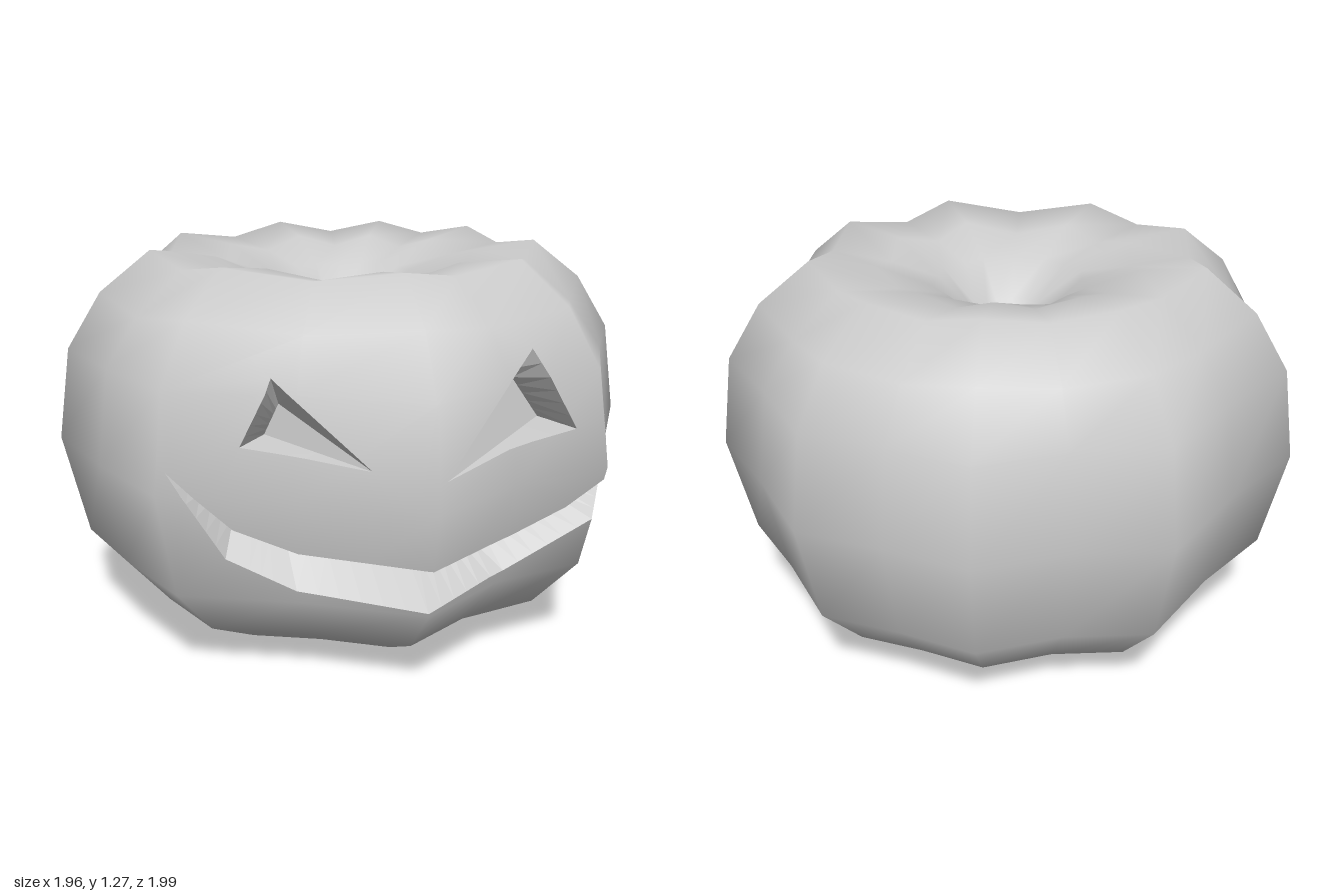
import * as THREE from 'three';
import { mergeVertices } from 'three/addons/utils/BufferGeometryUtils.js';

const skin = new THREE.MeshStandardMaterial({ color: 0xcccccc, side: THREE.DoubleSide });
skin.name = 'pale grey';

// Ribs: ridge angle in degrees (from +z towards +x), ridge radius, radius of the groove after it
const ribs = [[2, 0.99, 0.87], [42, 0.98, 0.905], [84, 0.985, 0.927], [123, 1.01, 0.955], [155, 1, 0.925],
  [189, 1.01, 0.905], [232, 0.98, 0.895], [272, 0.98, 0.93], [313, 0.975, 0.87]];
// Profile of one ridge, from the base centre up, over the rim and down into the dip
const profile = [[0, 0.005], [0.25, 0], [0.56, 0.03], [0.77, 0.145], [0.925, 0.32], [1, 0.66], [0.955, 0.96],
  [0.84, 1.14], [0.67, 1.27], [0.45, 1.24], [0.27, 1.16], [0.14, 1.05], [0.08, 0.97], [0, 0.95]];

// Ribbed body with smooth normals, returned as triangles of [x, y, z, nx, ny, nz]
function bodyTriangles() {
  const columns = [];
  ribs.forEach(([angle, ridge, groove], i) => {
    const next = i < ribs.length - 1 ? ribs[i + 1][0] : ribs[0][0] + 360;
    columns.push([angle, ridge, 0], [(angle + next) / 2, groove, 0.035]);
  });
  const n = columns.length, positions = [], index = [];
  for (const [r, y] of profile) {
    for (const [angle, scale, drop] of columns) {
      const a = THREE.MathUtils.degToRad(angle);
      const sink = y > 1.1 && r > 0.4 ? drop : 0;
      positions.push(r * scale * Math.sin(a), y - sink, r * scale * Math.cos(a));
    }
  }
  for (let j = 0; j < profile.length - 1; j++) {
    for (let i = 0; i < n; i++) {
      const a = j * n + i, b = j * n + (i + 1) % n;
      if (j > 0) index.push(a, b, b + n);
      else index.push(a, b + n, a + n);
      if (j > 0 && j < profile.length - 2) index.push(a, b + n, a + n);
    }
  }
  let geo = new THREE.BufferGeometry();
  geo.setAttribute('position', new THREE.Float32BufferAttribute(positions, 3));
  geo.setIndex(index);
  geo = mergeVertices(geo);
  geo.computeVertexNormals();
  geo = geo.toNonIndexed();
  const p = geo.attributes.position, m = geo.attributes.normal, triangles = [];
  for (let i = 0; i < p.count; i += 3) {
    triangles.push([i, i + 1, i + 2].map(k =>
      [p.getX(k), p.getY(k), p.getZ(k), m.getX(k), m.getY(k), m.getZ(k)]));
  }
  return triangles;
}

const side = (a, b, p) => (b[0] - a[0]) * (p[1] - a[1]) - (b[1] - a[1]) * (p[0] - a[0]);

// Part of a polygon on one side of the line a-b
function clip(poly, a, b, sign) {
  const out = [];
  poly.forEach((p, i) => {
    const q = poly[(i + 1) % poly.length];
    const dp = sign * side(a, b, p), dq = sign * side(a, b, q);
    if (dp >= 0) out.push(p);
    if (dp * dq < 0) out.push(p.map((v, k) => v + (q[k] - v) * dp / (dp - dq)));
  });
  return out;
}

// Remove a convex, counter-clockwise hole from a polygon, seen from the front
function cut(poly, hole) {
  const kept = [];
  let rest = poly;
  hole.forEach((a, i) => {
    const b = hole[(i + 1) % hole.length];
    if (rest.length < 3 || Math.hypot(b[0] - a[0], b[1] - a[1]) < 1e-6) return;
    const outside = clip(rest, a, b, -1);
    if (outside.length > 2) kept.push(outside);
    rest = clip(rest, a, b, 1);
  });
  // Leave polygons that never meet the hole in one piece
  return rest.length < 3 ? [poly] : kept;
}

// Front depth of the body at x, y
function depthAt(triangles, x, y) {
  let best = 0;
  for (const [a, b, c] of triangles) {
    const area = side(a, b, c);
    if (Math.abs(area) < 1e-9) continue;
    const u = side(b, c, [x, y]) / area, v = side(c, a, [x, y]) / area, w = 1 - u - v;
    if (Math.min(u, v, w) > -1e-6) best = Math.max(best, u * a[2] + v * b[2] + w * c[2]);
  }
  return best;
}

// Subdivide a polyline
function sample(points, steps) {
  const out = [];
  for (let i = 0; i < points.length - 1; i++) {
    for (let s = 0; s < steps; s++) out.push(points[i].map((v, k) => v + (points[i + 1][k] - v) * s / steps));
  }
  out.push(points[points.length - 1]);
  return out;
}

function flatMesh(name, positions) {
  const geo = new THREE.BufferGeometry();
  geo.setAttribute('position', new THREE.Float32BufferAttribute(positions, 3));
  geo.computeVertexNormals();
  const mesh = new THREE.Mesh(geo, skin);
  mesh.name = name;
  return mesh;
}

// Carved wall running from the skin edge to an inner line
function wall(triangles, edge, inner) {
  const o = sample(edge, 6).map(([x, y]) => [x, y, depthAt(triangles, x, y)]);
  const n = sample(inner, 6), out = [];
  for (let i = 0; i < o.length - 1; i++) {
    out.push(...o[i], ...o[i + 1], ...n[i + 1], ...o[i], ...n[i + 1], ...n[i]);
  }
  return out;
}

export function createModel() {
  const group = new THREE.Group();
  group.name = 'carvedPumpkin';
  const triangles = bodyTriangles();

  // Mouth edges, left to right, and the line where its floor and ceiling meet
  const upper = [[-0.68, 0.73], [-0.5, 0.56], [-0.32, 0.49], [0.02, 0.475], [0.32, 0.48], [0.52, 0.545], [0.67, 0.63], [0.775, 0.77]];
  const lower = [[-0.68, 0.73], [-0.52, 0.46], [-0.32, 0.36], [0.03, 0.33], [0.32, 0.36], [0.63, 0.48], [0.75, 0.62], [0.775, 0.77]];
  const inner = [[-0.68, 0.73], [-0.48, 0.56], [-0.33, 0.46], [0.02, 0.44], [0.24, 0.44], [0.48, 0.54], [0.62, 0.64], [0.775, 0.77]];
  const innerZ = [0, 0.6, 0.66, 0.7, 0.68, 0.6, 0.53, 0];
  const seam = inner.map(([x, y], i) => [x, y, innerZ[i] || depthAt(triangles, x, y)]);

  // Eye outlines and the back corners of each pit
  const eyes = [
    { name: 'leftEye', edge: [[0.06, 0.745], [0.54, 0.795], [0.4, 1.04]],
      back: [[0.06, 0.745, 0], [0.47, 0.8, 0.6], [0.355, 0.96, 0.62]] },
    { name: 'rightEye', edge: [[-0.13, 0.765], [-0.38, 1.0], [-0.475, 0.81]],
      back: [[-0.13, 0.765, 0], [-0.35, 0.91, 0.66], [-0.39, 0.815, 0.64]] },
  ];

  // Skin with the face cut out
  const holes = eyes.map(e => e.edge);
  for (let i = 0; i < upper.length - 1; i++) holes.push([lower[i], lower[i + 1], upper[i + 1], upper[i]]);
  const positions = [], normals = [];
  for (const tri of triangles) {
    let pieces = [tri];
    if (Math.max(...tri.map(p => p[2])) > 0.3) {
      for (const hole of holes) pieces = pieces.flatMap(p => cut(p, hole));
    }
    for (const p of pieces) {
      for (let i = 1; i < p.length - 1; i++) {
        for (const v of [p[0], p[i], p[i + 1]]) {
          positions.push(...v.slice(0, 3));
          normals.push(...v.slice(3));
        }
      }
    }
  }
  const body = flatMesh('ribbedBody', positions);
  body.geometry.setAttribute('normal', new THREE.Float32BufferAttribute(normals, 3));
  group.add(body);

  // Carved insides
  group.add(flatMesh('mouthFloor', wall(triangles, lower, seam)));
  group.add(flatMesh('mouthCeiling', wall(triangles, [...upper].reverse(), [...seam].reverse())));
  for (const { name, edge, back } of eyes) {
    back[0][2] = depthAt(triangles, back[0][0], back[0][1]);
    const walls = wall(triangles, [...edge, edge[0]], [...back, back[0]]);
    group.add(flatMesh(name, [...walls, ...back.flat()]));
  }

  // Hexagonal stem stub at the bottom of the dip
  const stem = new THREE.Mesh(new THREE.CylinderGeometry(0.11, 0.11, 0.08, 6).toNonIndexed(), skin);
  stem.name = 'stemStub';
  stem.position.y = 0.97;
  group.add(stem);
  return group;
}
